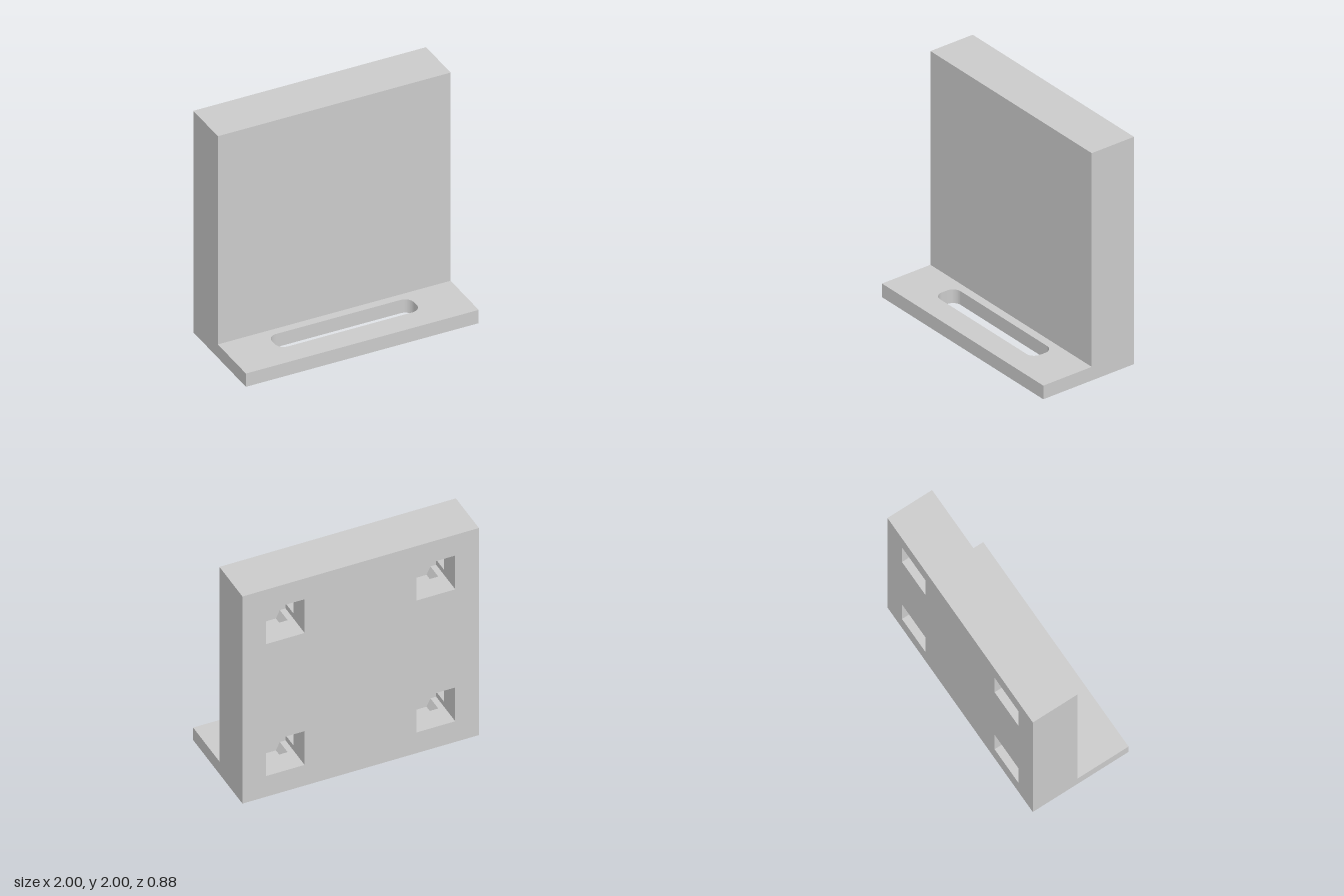
import * as THREE from 'three';

const material = new THREE.MeshStandardMaterial({ color: 0xcccccc, flatShading: true });

// closed outline from corner points
const outline = (Type, pts) => new Type(pts.map(([x, y]) => new THREE.Vector2(x, y)));
const rect = (Type, x0, y0, x1, y1) => outline(Type, [[x0, y0], [x1, y0], [x1, y1], [x0, y1]]);

function roundedSlot(x0, y0, x1, y1, r) {
  const p = new THREE.Path();
  p.moveTo(x0 + r, y0).lineTo(x1 - r, y0);
  p.absarc(x1 - r, y0 + r, r, -Math.PI / 2, 0);
  p.absarc(x1 - r, y1 - r, r, 0, Math.PI / 2);
  p.absarc(x0 + r, y1 - r, r, Math.PI / 2, Math.PI);
  p.absarc(x0 + r, y0 + r, r, Math.PI, Math.PI * 1.5);
  return p;
}

// square pocket whose four sides widen into tapered arms
function chamber(cx, cy, half, reach) {
  const pts = [];
  for (let i = 0; i < 4; i++) {
    const c = Math.round(Math.cos(i * Math.PI / 2)), s = Math.round(Math.sin(i * Math.PI / 2));
    for (const [u, v] of [[half, -half], [half, -half * 0.7], [half + reach, -half * 0.5],
      [half + reach, half * 0.5], [half, half * 0.7]]) {
      pts.push([cx + u * c - v * s, cy + u * s + v * c]);
    }
  }
  return outline(THREE.Path, pts);
}

export function createModel() {
  const group = new THREE.Group();
  const add = (name, geometry) => {
    const mesh = new THREE.Mesh(geometry, material);
    mesh.name = name;
    group.add(mesh);
    return mesh;
  };

  // upright plate in layers: pocket mouths, wider chambers, solid front
  const half = 0.163;
  const layer = (name, z0, z1, makeHole) => {
    const shape = rect(THREE.Shape, -1, 0, 1, 2);
    for (const x of [-0.637, 0.637]) {
      for (const y of [0.363, 1.637]) if (makeHole) shape.holes.push(makeHole(x, y));
    }
    add(name, new THREE.ExtrudeGeometry(shape, { depth: z1 - z0, bevelEnabled: false })).position.z = z0;
  };
  layer('pocketMouthLayer', -0.44, -0.24,
    (x, y) => rect(THREE.Path, x - half, y - half, x + half, y + half));
  layer('pocketChamberLayer', -0.24, -0.1, (x, y) => chamber(x, y, half, 0.07));
  layer('frontWall', -0.1, -0.03);

  // foot with a rounded slot, drawn flat then laid down
  const foot = rect(THREE.Shape, -1, -0.44, 1, 0.03);
  foot.holes.push(roundedSlot(-0.61, -0.24, 0.61, -0.04, 0.075));
  add('slottedFoot', new THREE.ExtrudeGeometry(foot, { depth: 0.12, bevelEnabled: false, curveSegments: 8 })
    .rotateX(-Math.PI / 2));

  return group;
}
